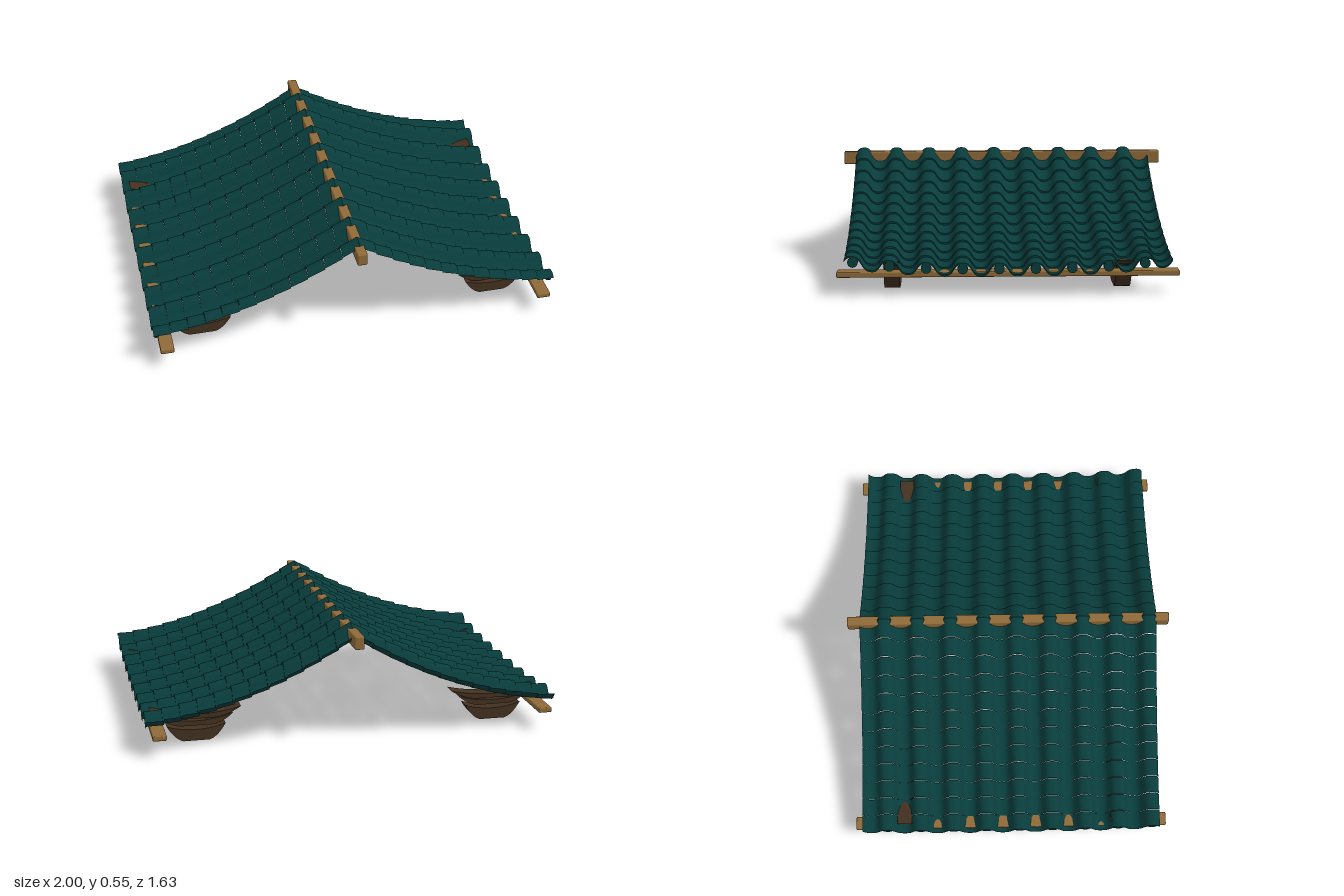
import * as THREE from 'three';
import { mergeGeometries } from 'three/addons/utils/BufferGeometryUtils.js';
import { RoundedBoxGeometry } from 'three/addons/geometries/RoundedBoxGeometry.js';

const ROWS = 12, COLUMNS = 9, PITCH = 0.1675, HALF_Z = 0.753, FIRST_CREST = 0.713;

// 1 on a tile crest, 0 in a tile valley, with steep flanks between
const wave = (z) => {
  const c = Math.cos((2 * Math.PI * (z - FIRST_CREST)) / PITCH);
  return 0.5 + (0.5 * Math.tanh(1.4 * c)) / Math.tanh(1.4);
};

// Roof height: sagging slope, upturned corners, corrugated tiles
function roofY(x, z) {
  const sag = 0.5 - 0.645 * x + 0.238 * x * x;
  const corner = 0.041 * x * x * Math.abs(z / HALF_Z) ** 3;
  return sag + corner + 0.055 * wave(z);
}

// Surface between two cross-sections running along z
function strip(side, edgeA, edgeB) {
  const n = COLUMNS * 16, pos = [], index = [];
  for (let i = 0; i <= n; i++) {
    const z = HALF_Z - (2 * HALF_Z * i) / n;
    for (const edge of [edgeA, edgeB]) {
      const [x, y] = edge(z);
      pos.push(side * x, y, z);
    }
    if (i < n) {
      const a = 2 * i;
      if (side > 0) index.push(a, a + 1, a + 2, a + 1, a + 3, a + 2);
      else index.push(a, a + 2, a + 1, a + 1, a + 2, a + 3);
    }
  }
  const g = new THREE.BufferGeometry();
  g.setAttribute('position', new THREE.Float32BufferAttribute(pos, 3));
  g.setIndex(index);
  g.computeVertexNormals();
  return g;
}

// One slope: rows of tiles, each lifted at its lower edge
function slopeGeometry(side) {
  const parts = [];
  for (let r = 0; r < ROWS; r++) {
    const x0 = r / ROWS, x1 = (r + 1) / ROWS;
    const lift = (z) => (side > 0 ? 0.008 : 0.002 + 0.008 * wave(z));
    const top = (z) => [x0, roofY(x0, z)];
    const lip = (z) => [x1, roofY(x1, z) + lift(z)];
    const under = (z) => [x1, roofY(x1, z)];
    parts.push(strip(side, top, lip));
    if (side > 0 || r === ROWS - 1) parts.push(strip(side, lip, under));
  }
  return mergeGeometries(parts);
}

// Curved bracket slat: thin tips, sagging top and rounded belly
function slatGeometry({ w, tip, sag, belly, flat }) {
  const bend = (w + flat) / 2, bendY = belly + (tip - belly) * 0.12;
  const s = new THREE.Shape();
  s.moveTo(-w, tip);
  s.quadraticCurveTo(-bend, bendY, -flat, belly);
  s.lineTo(flat, belly);
  s.quadraticCurveTo(bend, bendY, w, tip);
  s.quadraticCurveTo(0, 2 * sag - tip, -w, tip);
  const g = new THREE.ExtrudeGeometry(s, { depth: 0.074, bevelEnabled: false, curveSegments: 10 });
  return g.translate(0, 0, -0.037);
}

export function createModel() {
  const model = new THREE.Group();
  const tile = new THREE.MeshStandardMaterial({ color: 0x083c3b, side: THREE.DoubleSide });
  tile.name = 'teal tile';
  const wood = new THREE.MeshStandardMaterial({ color: 0x8f6a38 });
  wood.name = 'tan wood';
  const darkWood = new THREE.MeshStandardMaterial({ color: 0x433020 });
  darkWood.name = 'dark wood';

  const add = (name, geometry, material, parent = model) => {
    const mesh = new THREE.Mesh(geometry, material);
    mesh.name = name;
    parent.add(mesh);
    return mesh;
  };

  // Ridge beam
  add('ridgeBeam', new RoundedBoxGeometry(0.048, 0.064, 1.63, 2, 0.007), wood).position.y = 0.504;

  const slats = [
    { w: 0.218, tip: 0.158, sag: 0.131, belly: 0.11, flat: 0.09 },
    { w: 0.178, tip: 0.127, sag: 0.099, belly: 0.076, flat: 0.08 },
    { w: 0.142, tip: 0.078, sag: 0.055, belly: 0, flat: 0.062 },
  ].map(slatGeometry);
  const capGeometry = new THREE.CylinderGeometry(0.024, 0.024, 0.02, 16).rotateZ(Math.PI / 2);

  for (const side of [1, -1]) {
    const label = side > 0 ? 'left' : 'right';
    add(label + 'RoofTiles', slopeGeometry(side), tile);

    // Eave beam
    const beam = add(label + 'EaveBeam', new RoundedBoxGeometry(0.066, 0.026, 1.58, 2, 0.006), wood);
    beam.position.set(side * 0.943, 0.098, 0);

    // Round caps closing the crests at the eave
    for (let c = 0; c < COLUMNS; c++) {
      const z = FIRST_CREST - c * PITCH;
      const cap = add(label + 'EaveCap', capGeometry, tile);
      cap.position.set(side * 0.985, roofY(1, z) - 0.022, z);
    }

    // Stacked brackets
    for (const z of [0.54, -0.54]) {
      const bracket = new THREE.Group();
      bracket.name = label + (z > 0 ? 'Front' : 'Back') + 'Bracket';
      bracket.position.set(side * 0.745, 0, z);
      slats.forEach((g) => add('bracketSlat', g, darkWood, bracket));
      model.add(bracket);
    }
  }
  return model;
}
